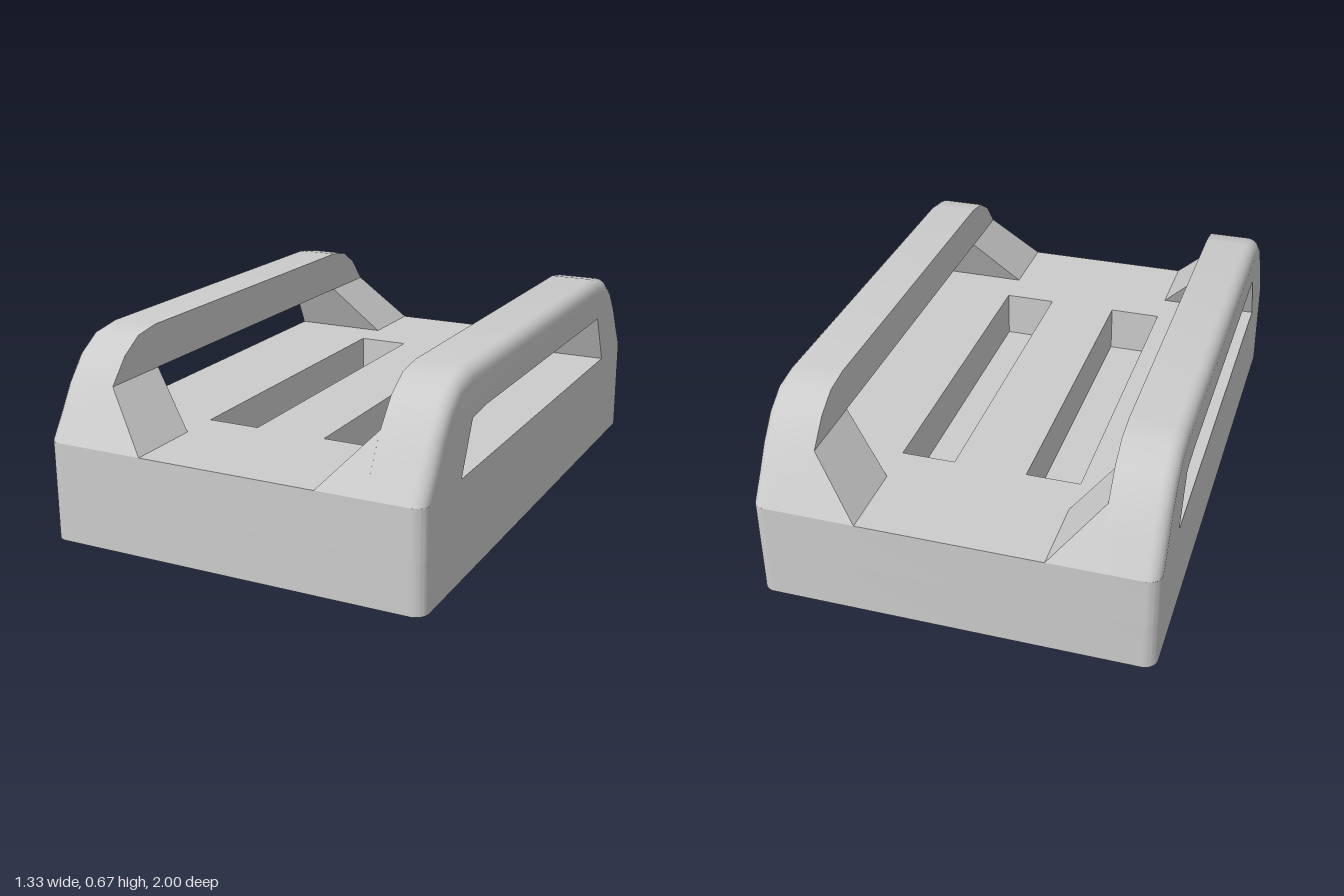
import * as THREE from 'three';
import { toCreasedNormals } from 'three/addons/utils/BufferGeometryUtils.js';

const W = 0.665, L = 1, FLOOR = 0.34, SLOT_Y = 0.17, R = 0.045;
const RAIL_IN = 0.475, FOOT_IN = 0.31, BAR_Y = 0.52, TOP = 0.67;

const toShape = (pts) => new THREE.Shape(pts.map(([a, b]) => new THREE.Vector2(a, b)));

function roundedOutline() {
  const s = new THREE.Shape();
  s.absarc(W - R, L - R, R, 0, Math.PI / 2);
  s.absarc(R - W, L - R, R, Math.PI / 2, Math.PI);
  s.absarc(R - W, R - L, R, Math.PI, Math.PI * 1.5);
  s.absarc(W - R, R - L, R, Math.PI * 1.5, Math.PI * 2);
  s.closePath();
  return s;
}

// Horizontal slab between two heights
function slab(y0, y1, holes = []) {
  const s = roundedOutline();
  s.holes.push(...holes);
  const g = new THREE.ExtrudeGeometry(s, { depth: y1 - y0, bevelEnabled: false, curveSegments: 5 });
  g.rotateX(-Math.PI / 2).translate(0, y0, 0);
  return toCreasedNormals(g, 0.9);
}

// Extrudes a side profile (z, y) along x, then moves each vertex by a rule
function sideExtrude(pts, steps, rule) {
  const g = new THREE.ExtrudeGeometry(toShape(pts), { depth: 1, steps, bevelEnabled: false });
  g.rotateY(Math.PI / 2);
  const p = g.attributes.position, v = new THREE.Vector3();
  for (let i = 0; i < p.count; i++) {
    rule(v.fromBufferAttribute(p, i));
    p.setXYZ(i, v.x, v.y, v.z);
  }
  return toCreasedNormals(g, 0.9);
}

// Handrail arch with a rounded outer edge
function railGeometry() {
  const arc = [[L, FLOOR], [0.945, 0.432], [0.893, BAR_Y], [0.82, 0.605], [0.74, 0.655], [0.645, TOP]];
  const inner = [[-0.725, FLOOR], [-0.64, BAR_Y], [0.64, BAR_Y], [0.725, FLOOR]];
  const pts = [...arc, ...arc.map(([z, y]) => [-z, y]).reverse(), ...inner];
  const steps = 6;
  return sideExtrude(pts, steps, (v) => {
    const k = Math.round(v.x * steps);
    const a = Math.max(0, k - 1) / (steps - 1) * Math.PI / 2;
    v.x = k === 0 ? RAIL_IN : W - R + R * Math.sin(a);
    if (v.y > 0.55 || Math.abs(v.z) > 0.8) {
      const inset = R * (1 - Math.cos(a));
      const tilt = Math.pow((v.y - FLOOR) / (TOP - FLOOR), 1.3) * Math.PI / 2;
      v.z -= Math.sign(v.z) * inset * Math.cos(tilt);
      if (v.y > FLOOR + 0.01) v.y -= inset * Math.sin(tilt);
    }
  });
}

// Sloping wedge that braces a rail foot against the floor
function gussetGeometry(sign) {
  const pts = [[0.725, FLOOR], [L, FLOOR], [0.893, BAR_Y], [0.64, BAR_Y]].map(([z, y]) => [z * sign, y]);
  return sideExtrude(pts, 1, (v) => {
    if (v.x < 0.5) {
      v.x = FOOT_IN;
      if (v.y > FLOOR + 0.01) {
        v.y = FLOOR;
        v.z = Math.sign(v.z) * (Math.abs(v.z) > 0.8 ? L : 0.725);
      }
    } else v.x = RAIL_IN;
  });
}

export function createModel() {
  const model = new THREE.Group();
  const material = new THREE.MeshStandardMaterial({ color: 0xcccccc });
  const add = (parent, name, geometry) => {
    const m = new THREE.Mesh(geometry, material);
    m.name = name;
    parent.add(m);
  };

  // Base block with two long recessed slots
  const slots = [-0.2175, 0.2175].map((x) =>
    toShape([[x - 0.0925, -0.585], [x - 0.0925, 0.585], [x + 0.0925, 0.585], [x + 0.0925, -0.585]]));
  add(model, 'baseLower', slab(0, SLOT_Y));
  add(model, 'baseSlotted', slab(SLOT_Y, FLOOR, slots));

  // Rails: each side is the other turned half round
  const rail = railGeometry(), gussets = [1, -1].map(gussetGeometry);
  ['left', 'right'].forEach((side, i) => {
    const g = new THREE.Group();
    g.name = side + 'RailAssembly';
    g.rotation.y = i * Math.PI;
    add(g, side + 'Rail', rail);
    gussets.forEach((geo, j) => add(g, side + 'Gusset' + (j + 1), geo));
    model.add(g);
  });
  return model;
}
